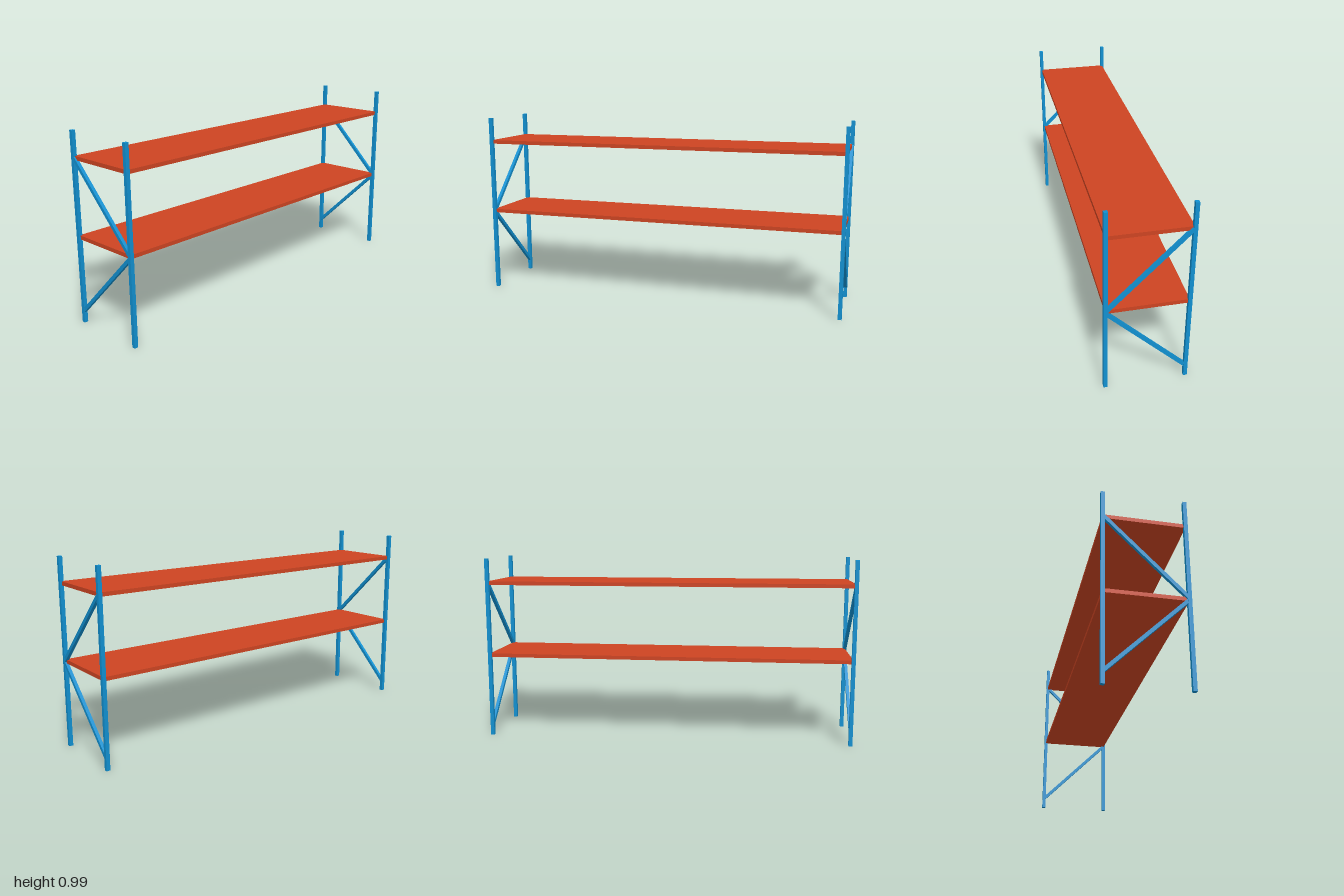
import * as THREE from 'three';

export function createModel() {
  const group = new THREE.Group();
  const blue = new THREE.MeshStandardMaterial({ color: 0x1190d0 });
  const red = new THREE.MeshStandardMaterial({ color: 0xcc4422 });

  function box(name, size, position, material) {
    const mesh = new THREE.Mesh(new THREE.BoxGeometry(...size), material);
    mesh.name = name;
    mesh.position.set(...position);
    group.add(mesh);
    return mesh;
  }

  // Diagonal bar in the plane of an end frame, between two [y, z] points
  function brace(name, x, [y0, z0], [y1, z1]) {
    const length = Math.hypot(y1 - y0, z1 - z0);
    const bar = box(name, [0.017, length, 0.018], [x, (y0 + y1) / 2, (z0 + z1) / 2], blue);
    bar.rotation.x = Math.atan2(z1 - z0, y1 - y0);
  }

  // End frames: two posts and two diagonal braces each
  for (const [side, sx] of [['left', 1], ['right', -1]]) {
    const x = sx * 0.99;
    for (const [end, sz] of [['Front', 1], ['Back', -1]]) {
      box(`${side}${end}Post`, [0.02, 0.99, 0.019], [x, 0.495, sz * 0.199], blue);
    }
    brace(`${side}LowerBrace`, x, [0.06, -0.199], [0.45, 0.199]);
    brace(`${side}UpperBrace`, x, [0.457, 0.199], [0.858, -0.199]);
  }

  // Shelf boards
  box('lowerShelf', [1.98, 0.02, 0.398], [0, 0.455, 0], red);
  box('upperShelf', [1.98, 0.02, 0.398], [0, 0.855, 0], red);

  return group;
}
